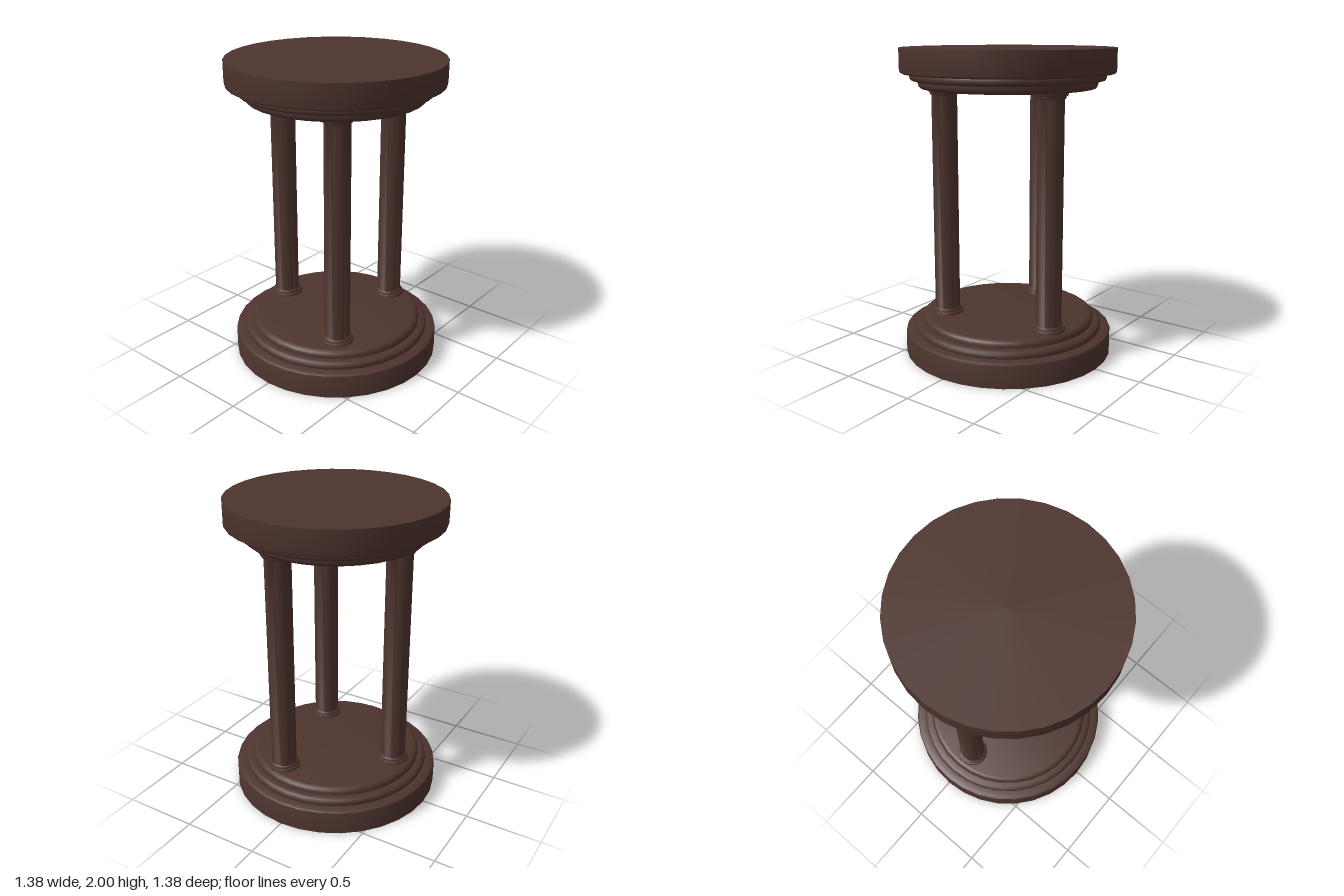
import * as THREE from 'three';
import { toCreasedNormals } from 'three/addons/utils/BufferGeometryUtils.js';

const HEIGHT = 2;
const brown = new THREE.MeshStandardMaterial({ color: 0x4e342e });
brown.name = 'darkBrown';

// Revolve a bottom-to-top [radius, y] profile, smooth around, sharp at steps
function turned(profile, segments) {
  const points = profile.map(([r, y]) => new THREE.Vector2(r, y));
  return toCreasedNormals(new THREE.LatheGeometry(points, segments), 0.7);
}

export function createModel() {
  const model = new THREE.Group();
  model.name = 'columnStand';

  // Round plinth with two softened steps
  const plateGeometry = turned([
    [0, 0], [0.688, 0], [0.688, 0.14], [0.684, 0.152], [0.67, 0.16],
    [0.622, 0.162], [0.626, 0.172], [0.624, 0.19], [0.614, 0.201], [0.595, 0.206],
    [0.573, 0.208], [0.573, 0.228], [0.566, 0.243], [0.555, 0.252], [0.54, 0.255],
    [0, 0.255],
  ], 32);

  const base = new THREE.Mesh(plateGeometry, brown);
  base.name = 'basePlate';
  const top = new THREE.Mesh(plateGeometry, brown);
  top.name = 'topPlate';
  top.rotation.x = Math.PI;
  top.position.y = HEIGHT;
  model.add(base, top);

  // Column with matching stepped foot and capital
  const foot = [
    [0.104, 0.25], [0.104, 0.267], [0.1, 0.273], [0.092, 0.275],
    [0.092, 0.286], [0.088, 0.291], [0.082, 0.293],
  ];
  const capital = foot.map(([r, y]) => [r, HEIGHT - y]).reverse();
  const columnGeometry = turned([...foot, ...capital], 32);

  [[-0.432, 0.028], [0.145, -0.422], [0.265, 0.31]].forEach(([x, z], i) => {
    const column = new THREE.Mesh(columnGeometry, brown);
    column.name = `column${i + 1}`;
    column.position.set(x, 0, z);
    model.add(column);
  });

  return model;
}
